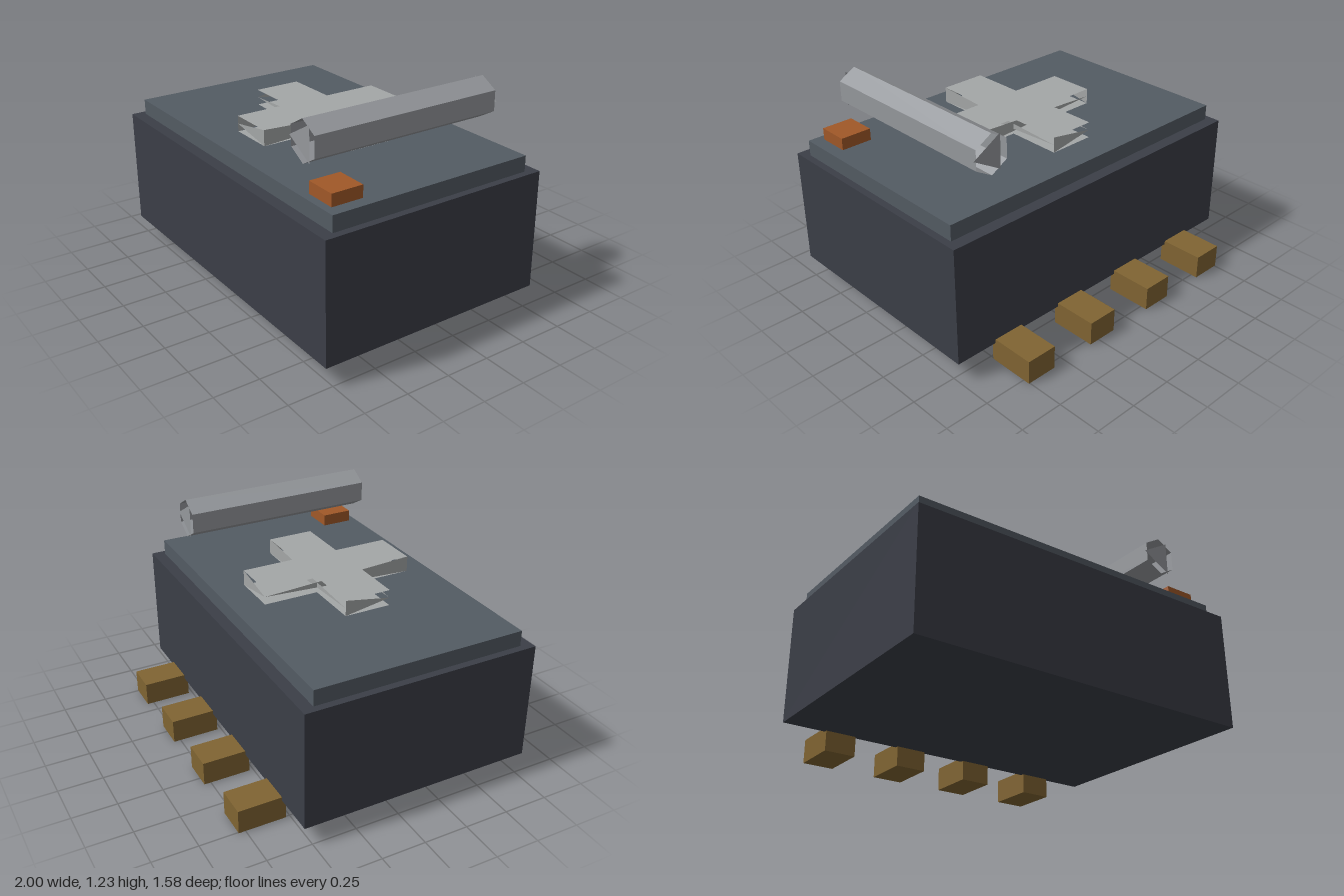
import * as THREE from 'three';

const material = (color) =>
  new THREE.MeshStandardMaterial({ color, flatShading: true, side: THREE.DoubleSide });

const bodyMat = material(0x3b3e47);
const lidMat = material(0x535b63);
const pinMat = material(0x806432);
const lampMat = material(0xa05828);
const barMat = material(0x95989c);
const crossMat = material(0xa4a7a7);

function addMesh(parent, name, geometry, mat) {
  const mesh = new THREE.Mesh(geometry, mat);
  mesh.name = name;
  parent.add(mesh);
  return mesh;
}

// Box given by its lower and upper corners
function addBox(parent, name, min, max, mat) {
  const size = max.map((v, i) => v - min[i]);
  const mesh = addMesh(parent, name, new THREE.BoxGeometry(...size), mat);
  mesh.position.set(...max.map((v, i) => (v + min[i]) / 2));
  return mesh;
}

// Thin triangle in the xy plane: point at -x, upright edge at +x
function wedgeFace(length, height) {
  const shape = new THREE.Shape();
  shape.moveTo(-length / 2, 0);
  shape.lineTo(length / 2, -height / 2);
  shape.lineTo(length / 2, height / 2);
  shape.closePath();
  return new THREE.ShapeGeometry(shape);
}

// Cross arm: flat top and bottom plates joined by triangular side webs
function makeCrossArm(name, length, width, height) {
  const arm = new THREE.Group();
  arm.name = name;
  for (const s of [1, -1]) {
    const plate = new THREE.PlaneGeometry(length, width).rotateX(-s * Math.PI / 2);
    addMesh(arm, 'armPlate', plate, crossMat).position.y = s * height / 2;
    addMesh(arm, 'armSideWeb', wedgeFace(length, height), crossMat).position.z = s * width / 2;
    const end = wedgeFace(width, height).rotateY(Math.PI / 2);
    addMesh(arm, 'armEndWeb', end, crossMat).position.x = s * length / 2;
  }
  return arm;
}

export function createModel() {
  const model = new THREE.Group();
  model.name = 'box';

  // Body and lid
  addBox(model, 'body', [-1, 0.113, -0.543], [1, 0.78, 0.788], bodyMat);
  addBox(model, 'lid', [-0.96, 0.78, -0.476], [0.96, 0.868, 0.721], lidMat);

  // Row of pins along the lower back edge
  for (const x of [-0.667, -0.222, 0.222, 0.667]) {
    addBox(model, 'pin', [x - 0.089, 0, -0.788], [x + 0.089, 0.135, -0.522], pinMat);
  }

  // Small indicator on the lid
  addBox(model, 'indicator', [0.71, 0.868, 0.5], [0.89, 0.935, 0.677], lampMat);

  // Raised cross
  const cross = new THREE.Group();
  cross.name = 'cross';
  cross.position.set(0, 0.935, 0.122);
  const lengthwise = makeCrossArm('lengthwiseArm', 0.885, 0.264, 0.088);
  lengthwise.rotation.y = -Math.PI / 2;
  cross.add(makeCrossArm('crosswiseArm', 0.885, 0.264, 0.088), lengthwise);
  model.add(cross);

  // Six-sided bar, open at the ends with a triangular plate across each
  const radius = 0.112, length = 1.11;
  const bar = new THREE.Group();
  bar.name = 'bar';
  bar.position.set(0.661, 1.113, 0.122);
  const tube = new THREE.CylinderGeometry(radius, radius, length, 6, 1, true);
  addMesh(bar, 'barSides', tube.rotateX(Math.PI / 2), barMat);
  for (const s of [1, -1]) {
    const cap = new THREE.CircleGeometry(radius, 3).rotateZ(Math.PI);
    if (s < 0) cap.rotateY(Math.PI);
    addMesh(bar, 'barEndPlate', cap, barMat).position.z = s * length / 2;
  }
  model.add(bar);

  return model;
}
